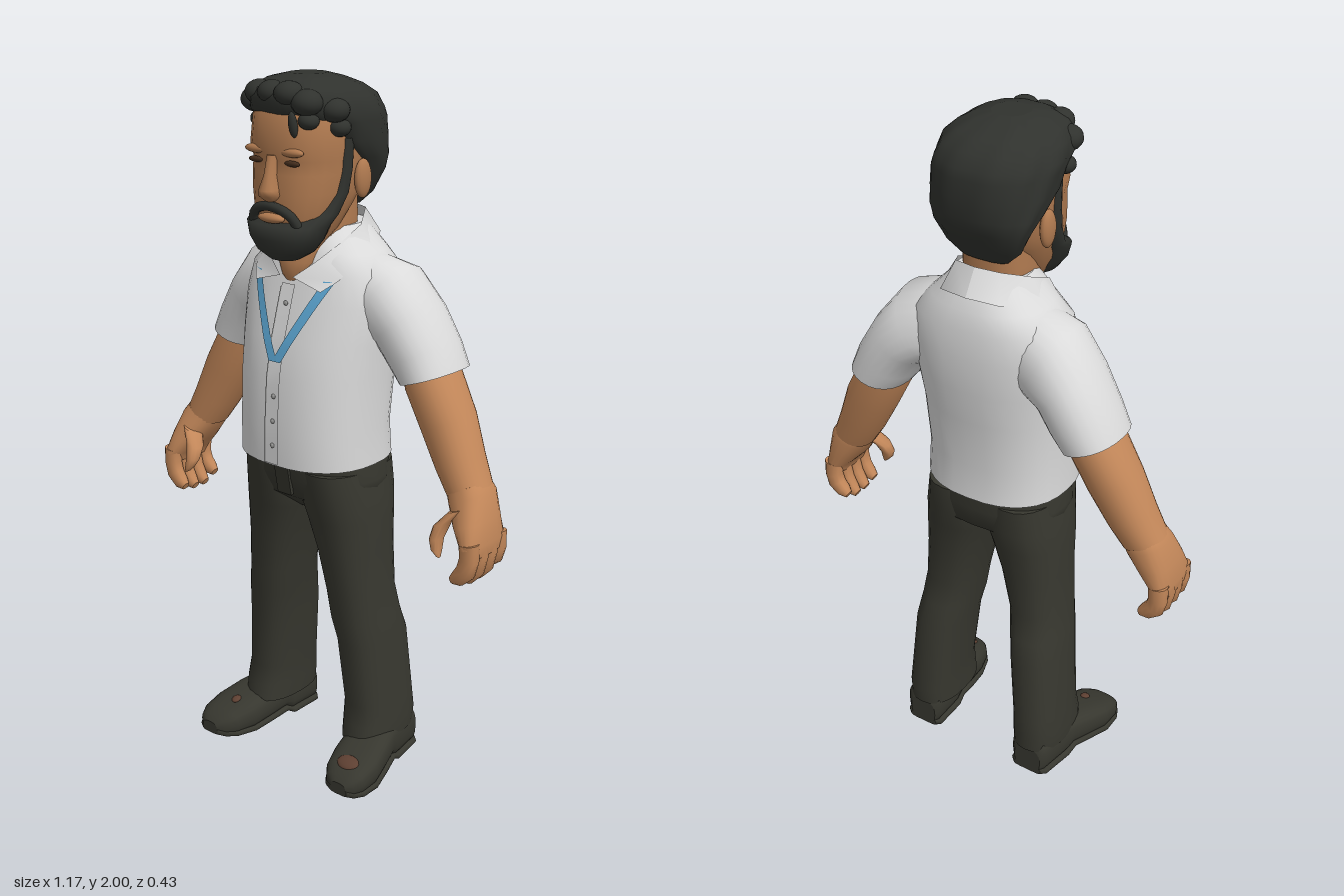
import * as THREE from 'three';

const mat = (name, color, side = THREE.FrontSide) => {
  const m = new THREE.MeshStandardMaterial({ color, side });
  m.name = name;
  return m;
};

// Power-rounded circle: n = 2 is an ellipse, higher is boxier
const rounded = (a, n) => [Math.cos(a), Math.sin(a)].map(v => Math.sign(v) * Math.abs(v) ** (2 / n));

// Skin over a list of sections, each a function (angle) => [x, y, z]; ends are capped
function loft(name, material, sections, seg = 24) {
  const pos = [], idx = [], rows = sections.length;
  const addRing = f => { for (let j = 0; j < seg; j++) pos.push(...f(j / seg * Math.PI * 2)); };
  sections.forEach(addRing);
  for (let i = 0; i < rows - 1; i++) for (let j = 0; j < seg; j++) {
    const k = (j + 1) % seg, a = i * seg + j, b = a + seg, c = (i + 1) * seg + k, d = i * seg + k;
    idx.push(a, b, c, a, c, d);
  }
  for (const end of [0, rows - 1]) {
    const base = pos.length / 3, mid = [0, 0, 0];
    addRing(sections[end]);
    for (let j = 0; j < seg; j++) for (let q = 0; q < 3; q++) mid[q] += pos[(base + j) * 3 + q] / seg;
    pos.push(...mid);
    for (let j = 0; j < seg; j++) {
      const a = base + j, b = base + (j + 1) % seg;
      idx.push(base + seg, ...(end ? [b, a] : [a, b]));
    }
  }
  // Turn the surface outwards if the enclosed volume is negative
  const p = i => new THREE.Vector3().fromArray(pos, i * 3);
  let volume = 0;
  for (let t = 0; t < idx.length; t += 3) volume += p(idx[t]).dot(p(idx[t + 1]).cross(p(idx[t + 2])));
  if (volume < 0) idx.reverse();
  return surface(name, material, pos, idx);
}

function surface(name, material, pos, idx) {
  const g = new THREE.BufferGeometry();
  g.setAttribute('position', new THREE.Float32BufferAttribute(pos, 3));
  g.setIndex(idx);
  g.computeVertexNormals();
  const m = new THREE.Mesh(g, material);
  m.name = name;
  return m;
}

// Level sections [y, halfWidth, zFront, zBack, xCentre]
const level = (rings, n = 2.4, s = 1, wave = 0) => rings.map(([y, rx, zf, zb, cx = 0]) => a => {
  const [c, d] = rounded(a, n), w = 1 + wave * Math.sin(a * 11 + y * 22);
  return [s * (cx + rx * c * w), y, (zf + zb) / 2 + (zf - zb) / 2 * d * w];
});
// Limb sections [x, y, z, acrossX, acrossY, halfDepth]
const limb = (rings, s, n = 2.2) => rings.map(([x, y, z, ux, uy, rz]) => a => {
  const [c, d] = rounded(a, n);
  return [s * (x + ux * c), y + uy * c, z + rz * d];
});
// Front-to-back sections [z, xCentre, halfWidth, yLow, yHigh]
const lengthwise = (rings, s, n = 2.8) => rings.map(([z, cx, w, y0, y1]) => a => {
  const [c, d] = rounded(a, n);
  return [s * (cx + w * c), (y0 + y1) / 2 + (y1 - y0) / 2 * d, z];
});

const TORSO = [[0.95, .21, .185, -.19], [1.05, .208, .185, -.18], [1.2, .213, .175, -.195], [1.3, .222, .155, -.21],
  [1.4, .232, .125, -.212], [1.48, .22, .1, -.205], [1.53, .165, .085, -.19], [1.57, .125, .07, -.17], [1.6, .1, .05, -.15]];

// Height of the shirt front at x, y
function shirtZ(x, y) {
  let i = 0;
  while (i < TORSO.length - 2 && TORSO[i + 1][0] < y) i++;
  const A = TORSO[i], B = TORSO[i + 1], t = (y - A[0]) / (B[0] - A[0]);
  const [, rx, zf, zb] = A.map((v, k) => v + (B[k] - v) * t);
  return (zf + zb) / 2 + (zf - zb) / 2 * Math.max(0, 1 - Math.abs(x / rx) ** 2.4) ** (1 / 2.4);
}

// Flat band lying on the shirt front
function band(name, material, [x0, y0], [x1, y1], width, lift) {
  const pos = [], idx = [], N = 14;
  for (let i = 0; i <= N; i++) for (const e of [-.5, .5]) {
    const x = x0 + (x1 - x0) * i / N + e * width, y = y0 + (y1 - y0) * i / N;
    pos.push(x, y, shirtZ(x, y) + lift);
  }
  for (let i = 0; i < N; i++) idx.push(2 * i, 2 * i + 2, 2 * i + 1, 2 * i + 1, 2 * i + 2, 2 * i + 3);
  return surface(name, material, pos, idx);
}

function blob(name, material, [x, y, z], [sx, sy, sz], tilt = 0) {
  const m = new THREE.Mesh(new THREE.SphereGeometry(1, 16, 12), material);
  m.name = name;
  m.position.set(x, y, z);
  m.scale.set(sx, sy, sz);
  m.rotation.x = tilt;
  return m;
}

export function createModel() {
  const shirt = mat('shirt white', 0xdadada), shirtThin = mat('collar white', 0xdadada, THREE.DoubleSide);
  const seam = mat('seam grey', 0x9c9c9a), blue = mat('lanyard blue', 0x5ca6d2, THREE.DoubleSide);
  const skin = mat('skin', 0xc4885a), face = mat('face skin', 0xb07a50), hair = mat('hair', 0x30322e);
  const cloth = mat('trouser charcoal', 0x37372f), scuff = mat('scuff brown', 0x5e4032), eye = mat('eye dark', 0x47301f);
  const model = new THREE.Group();
  const add = (...m) => model.add(...m);

  // Shirt body, placket, buttons and lanyard
  add(loft('shirtBody', shirt, level(TORSO), 32));
  add(band('placket', shirtThin, [0, 1.45], [0, .955], .045, .004));
  add(band('placketSeam', seam, [-.022, 1.44], [-.022, .955], .004, .006));
  for (const y of [1.4, 1.15, 1.08, 1.01]) add(blob('button', seam, [.004, y, shirtZ(0, y) + .005], [.007, .007, .004]));
  for (const s of [1, -1]) add(band('lanyard', blue, [s * .125, 1.47], [s * .006, 1.245], .03, .008));

  // Open collar, one leaf per side
  const top = [[0, 1.635, -.142], [.07, 1.63, -.125], [.115, 1.6, -.05], [.112, 1.56, .04], [.078, 1.515, .1], [.022, 1.472, .122]];
  const low = [[0, 1.565, -.185], [.09, 1.56, -.168], [.152, 1.535, -.06], [.158, 1.51, .03], [.148, 1.475, .08], [.115, 1.445, .118]];
  for (const s of [1, -1]) {
    const pos = [], idx = [];
    top.forEach((t, i) => [t, low[i]].forEach(([x, y, z]) => pos.push(s * x, y, z)));
    for (let i = 0; i < 5; i++) for (const t of [[0, 1, 2], [1, 3, 2]]) idx.push(...(s > 0 ? t : t.reverse()).map(k => k + 2 * i));
    add(surface('collar', shirtThin, pos, idx));
  }

  // Neck and head
  add(loft('neck', face, level([[1.44, .02, .1, -.05], [1.47, .055, .114, -.09], [1.51, .085, .112, -.11],
    [1.56, .095, .09, -.112], [1.62, .095, .06, -.112], [1.74, .09, .05, -.11]])));
  add(loft('head', face, level([[1.55, .07, .15, .02], [1.6, .1, .17, -.03], [1.66, .12, .178, -.08], [1.7, .13, .178, -.11],
    [1.75, .135, .176, -.13], [1.785, .137, .172, -.14], [1.82, .14, .183, -.14], [1.9, .138, .172, -.15], [1.96, .1, .13, -.12]])));
  add(loft('nose', face, level([[1.682, .014, .195, .15], [1.697, .028, .213, .15], [1.712, .025, .217, .15],
    [1.75, .016, .2, .15], [1.8, .014, .187, .15]]), 12));
  add(blob('lips', face, [0, 1.637, .18], [.045, .013, .017]));
  for (const s of [1, -1]) {
    add(blob('ear', face, [s * .142, 1.73, -.022], [.017, .052, .03]));
    add(blob('eye', eye, [s * .062, 1.782, .166], [.026, .008, .007]));
    add(blob('browRidge', face, [s * .06, 1.81, .166], [.04, .012, .014]));
  }

  // Beard, sideburns and moustache
  add(loft('beard', hair, level([[1.522, .04, .16, .085], [1.545, .08, .183, .06], [1.58, .108, .193, .045], [1.618, .122, .192, .03],
    [1.645, .13, .13, .02], [1.7, .142, .085, .003], [1.76, .146, .07, -.005], [1.84, .148, .07, -.01]])));
  const path = new THREE.CatmullRomCurve3([[-.082, 1.605, .155], [-.06, 1.65, .176], [0, 1.67, .187], [.06, 1.65, .176], [.082, 1.605, .155]]
    .map(p => new THREE.Vector3(...p)));
  const moustache = new THREE.Mesh(new THREE.TubeGeometry(path, 20, .013, 8), hair);
  moustache.name = 'moustache';
  add(moustache);

  // Wavy hair with tufts along the front
  add(loft('hair', hair, level([[1.645, .07, -.075, -.115], [1.68, .108, -.06, -.14], [1.74, .136, -.04, -.172], [1.78, .152, .01, -.182],
    [1.83, .162, .09, -.185], [1.88, .165, .13, -.183], [1.905, .165, .17, -.176], [1.94, .155, .183, -.155], [1.965, .13, .172, -.115],
    [1.985, .095, .135, -.06], [1.996, .05, .08, -.02]], 2.3, 1, .018), 66));
  for (const [x, y, z, r] of [[-.12, 1.925, .1, .042], [-.075, 1.95, .135, .04], [-.02, 1.955, .15, .038], [.04, 1.955, .152, .04],
    [.09, 1.935, .14, .042], [.13, 1.915, .08, .04], [-.135, 1.87, .065, .03], [.135, 1.87, .065, .03], [.095, 1.89, .14, .028]])
    add(blob('hairTuft', hair, [x, y, z], [r, r * .8, r]));
  add(blob('forelock', hair, [.07, 1.882, .172], [.012, .034, .012], .2));

  // Trouser seat and fly
  add(loft('trouserSeat', cloth, level([[.785, .08, .05, -.08], [.84, .205, .12, -.163], [.9, .21, .14, -.17], [.97, .2, .15, -.172]])));
  const fly = new THREE.Mesh(new THREE.BoxGeometry(.05, .1, .01), cloth);
  fly.name = 'fly';
  fly.position.set(0, .9, .14);
  fly.rotation.x = .18;
  add(fly);

  for (const s of [1, -1]) {
    // Sleeve and arm
    add(loft('sleeve', shirt, limb([[.12, 1.42, -.06, .03, .11, .1], [.2, 1.4, -.075, .055, .1, .122], [.262, 1.345, -.085, .07, .06, .12],
      [.31, 1.27, -.09, .08, .04, .115], [.343, 1.215, -.09, .077, .027, .112]], s)));
    add(loft('arm', skin, limb([[.31, 1.28, -.09, .06, .025, .08], [.345, 1.2, -.085, .068, .028, .086], [.4, 1.1, -.08, .068, .03, .08],
      [.45, 1, -.07, .06, .028, .072], [.49, .93, -.062, .055, .022, .066]], s)));
    // Hand with four curled fingers and a thumb
    add(loft('palm', skin, limb([[.485, .945, -.06, .05, .02, .062], [.5, .92, -.058, .054, .02, .07], [.528, .86, -.042, .046, .014, .08],
      [.553, .81, -.033, .032, .005, .088], [.556, .78, -.033, .024, 0, .08]], s, 2.5)));
    for (let i = 0; i < 4; i++) {
      const z = -.099 + i * .043, e = i === 0 ? .02 : i === 3 ? .01 : 0;
      add(loft('finger', skin, limb([[.555, .82, z, .028, .004, .024], [.557, .775, z, .027, -.004, .024], [.548, .735 + e / 2, z, .025, -.014, .023],
        [.525, .705 + e, z, .014, -.019, .021], [.506, .694 + e, z, .006, -.011, .013]], s), 12));
    }
    add(loft('thumb', skin, limb([[.497, .895, .0, .025, .01, .03], [.465, .855, .025, .024, .01, .027], [.458, .815, .042, .019, .004, .022],
      [.464, .785, .05, .014, -.004, .017], [.472, .77, .052, .006, -.003, .008]], s), 12));

    // Trouser leg with a turned cuff
    add(loft('trouserLeg', cloth, level([[.09, .078, .068, -.187, .192], [.14, .08, .06, -.188, .192], [.2, .077, .05, -.184, .188],
      [.4, .08, .063, -.17, .17], [.47, .082, .075, -.15, .158], [.55, .083, .08, -.133, .148], [.68, .092, .095, -.14, .13],
      [.78, .107, .11, -.15, .113], [.85, .112, .127, -.165, .1], [.93, .1, .14, -.165, .1]], 2.4, s)));
    // Shoe and sole
    const shoe = [[-.178, .195, .045, 0, .09], [-.165, .196, .06, 0, .13], [-.06, .205, .068, 0, .135], [-.03, .21, .07, .018, .13],
      [.03, .222, .078, .012, .118], [.1, .237, .081, 0, .098], [.16, .247, .07, 0, .078], [.188, .252, .052, .003, .062], [.203, .255, .028, .008, .045]];
    add(loft('shoe', cloth, lengthwise(shoe, s)));
    add(loft('sole', cloth, lengthwise(shoe.map(([z, x, w, y0]) => [z, x, w + .003, y0, y0 + .022]), s, 4)));
  }
  add(blob('toeScuff', scuff, [.245, .079, .145], [.036, .012, .026], .35));
  add(blob('toeScuff', scuff, [-.228, .094, .112], [.014, .007, .016], .3));
  return model;
}
